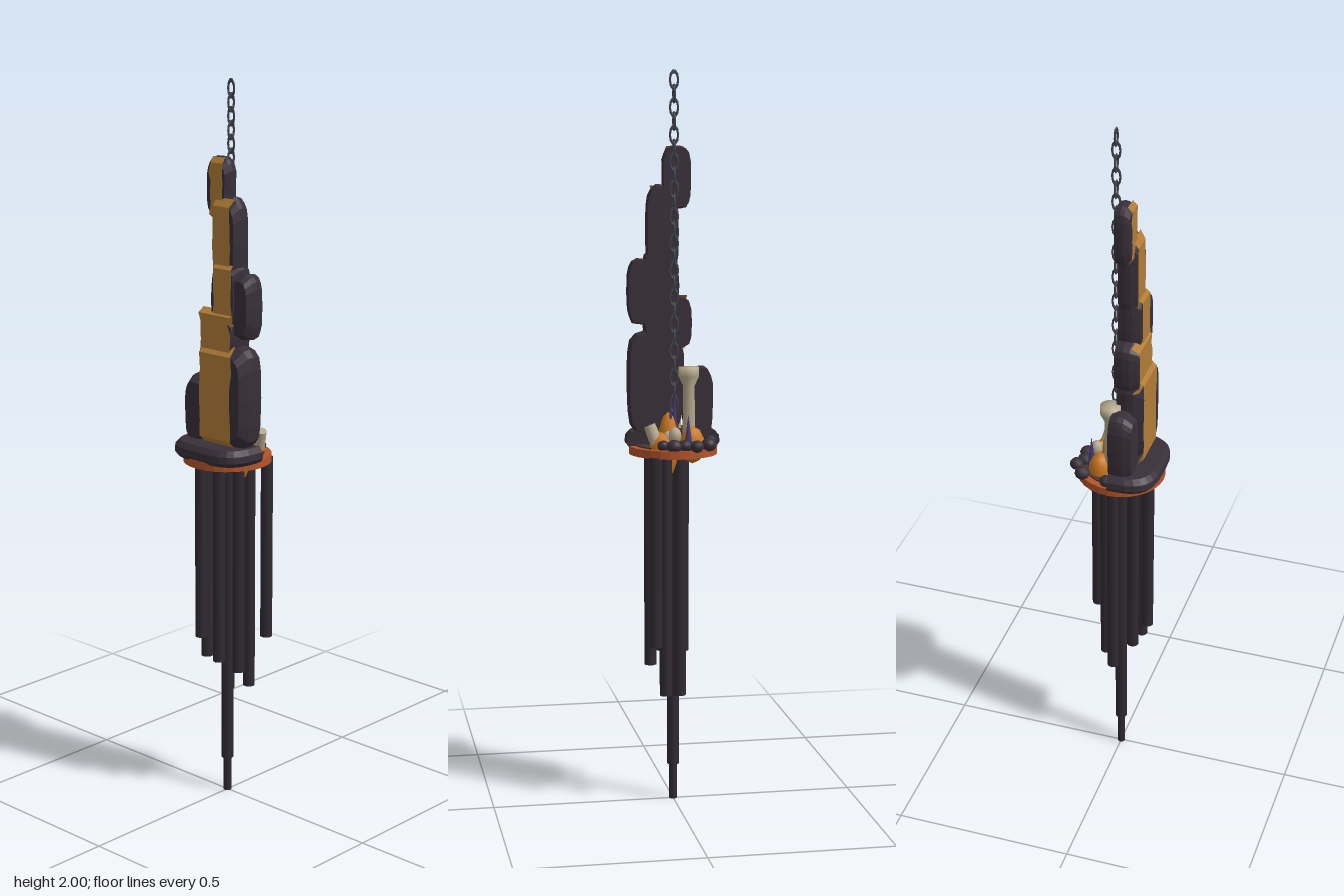
import * as THREE from 'three';

const mat = (name, color) => {
  const m = new THREE.MeshStandardMaterial({ color });
  m.name = name;
  return m;
};

export function createModel() {
  const rock = mat('dark rock', 0x382f38);
  const tubeMat = mat('dark metal tube', 0x302a31);
  const amber = mat('amber', 0xb07c38);
  amber.side = THREE.DoubleSide;
  const rust = mat('rust rim', 0xb4532a);
  const orange = mat('orange', 0xc9771f);
  const cream = mat('cream', 0xb5a88c);
  const purple = mat('purple', 0x463570);
  const steel = mat('chain steel', 0x42424e);
  const earth = mat('brown earth', 0x4c3632);

  const model = new THREE.Group();
  let seed = 7;
  const rnd = () => (seed = (seed * 16807) % 2147483647) / 2147483647;

  const add = (name, geo, material, x = 0, y = 0, z = 0) => {
    const m = new THREE.Mesh(geo, material);
    m.name = name;
    m.position.set(x, y, z);
    model.add(m);
    return m;
  };

  // Faceted solid from matching rings, capped at both ends
  const loft = (rings) => {
    const p = [];
    const tri = (...v) => v.forEach((q) => p.push(...q));
    const n = rings[0].length;
    const mid = (r) => [0, 1, 2].map((k) => r.reduce((s, q) => s + q[k], 0) / n);
    const first = rings[0], last = rings[rings.length - 1];
    for (let i = 0; i < n; i++) {
      const j = (i + 1) % n;
      for (let k = 0; k < rings.length - 1; k++) {
        const a = rings[k], b = rings[k + 1];
        tri(a[i], a[j], b[j]);
        tri(a[i], b[j], b[i]);
      }
      tri(mid(first), first[j], first[i]);
      tri(mid(last), last[i], last[j]);
    }
    const g = new THREE.BufferGeometry();
    g.setAttribute('position', new THREE.Float32BufferAttribute(p, 3));
    g.computeVertexNormals();
    return g;
  };

  // Squarish rounded outline point
  const superPoint = (a, w, h, e) => {
    const c = Math.cos(a), s = Math.sin(a);
    return [w * Math.sign(c) * Math.abs(c) ** e, h * Math.sign(s) * Math.abs(s) ** e];
  };

  // Flat-backed boulder: centre, half width, half height, depth
  const boulder = (name, cx, cy, w, h, d) => {
    const outline = Array.from({ length: 18 }, (_, i) => {
      const [x, y] = superPoint((i / 18) * Math.PI * 2, w, h, 0.55);
      const k = 0.96 + rnd() * 0.06;
      return [x * k, y * k];
    });
    const ring = (s, z) => outline.map(([x, y]) => [cx + x * s, cy + y * s, z]);
    add(name, loft([ring(0.95, -0.005), ring(1, d * 0.3), ring(0.98, d * 0.6), ring(0.8, d)]), rock);
  };

  // Amber sheet following the front of a boulder, with ragged sides
  const band = (cy, h, d, x0, x1) => {
    const prof = [[0.97, 0.65], [0.8, 1], [0.5, 1], [0.2, 1], [-0.15, 1], [-0.5, 1], [-0.8, 1], [-0.97, 0.65]];
    const pos = [], idx = [];
    prof.forEach(([v, s], i) => {
      const y = cy + v * h, z = d * s + 0.003;
      pos.push(x0 + (rnd() - 0.5) * 0.01, y, z, x1 + (rnd() - 0.5) * 0.01, y, z);
      if (i) idx.push(2 * i - 2, 2 * i, 2 * i + 1, 2 * i - 2, 2 * i + 1, 2 * i - 1);
    });
    const g = new THREE.BufferGeometry();
    g.setAttribute('position', new THREE.Float32BufferAttribute(pos, 3));
    g.setIndex(idx);
    const flat = g.toNonIndexed();
    flat.computeVertexNormals();
    add('amberBand', flat, amber);
  };

  // Spire of stacked boulders: centre, half size, depth, amber from x to x
  [
    [-0.01, 1.715, 0.04, 0.085, 0.034, -0.03, 0.015],
    [0.028, 1.575, 0.046, 0.122, 0.045, -0.008, 0.054],
    [0.08, 1.41, 0.044, 0.09, 0.05],
    [0.032, 1.43, 0.05, 0.1, 0.054, 0.0, 0.068],
    [0.012, 1.325, 0.068, 0.075, 0.06, -0.043, 0.065],
    [0.045, 1.165, 0.08, 0.145, 0.07, -0.035, 0.078],
    [-0.07, 1.11, 0.042, 0.098, 0.058],
  ].forEach(([cx, cy, w, h, d, x0, x1]) => {
    boulder('spireBoulder', cx, cy, w, h, d);
    if (x0 !== undefined) band(cy, h, d, x0, x1);
  });

  // Half-round stone ledge in front of the spire
  const ledgeRing = (s, y) => Array.from({ length: 15 }, (_, i) => {
    const [x, z] = superPoint(Math.PI + (i / 14) * Math.PI, 0.128 * s, 0.125 * s, 0.6);
    return [x, y, -z - 0.003];
  });
  add('ledge', loft([ledgeRing(0.93, 0.988), ledgeRing(1, 1.0), ledgeRing(0.99, 1.018), ledgeRing(0.9, 1.032)]), rock);

  // Round base plate with rust-coloured rim
  const rim = new THREE.Shape().absarc(0, 0, 0.12, 0, Math.PI * 2);
  rim.holes.push(new THREE.Path().absarc(0, 0, 0.1, 0, Math.PI * 2, true));
  const rimGeo = new THREE.ExtrudeGeometry(rim, { depth: 0.022, bevelEnabled: false, curveSegments: 14 });
  add('baseRim', rimGeo.rotateX(-Math.PI / 2), rust, 0, 0.972);
  add('basePlate', new THREE.CylinderGeometry(0.101, 0.101, 0.024, 28), earth, 0, 0.986);

  // Hanging tubes: x, z, lower end
  [
    [-0.02, 0.083, 0.48], [-0.035, 0.045, 0.41], [0.03, -0.055, 0.31], [0.063, -0.09, 0.455],
    [0.06, 0.02, 0.38], [-0.015, -0.02, 0.3], [0.02, 0.055, 0.41], [0, 0, 0.1],
  ].forEach(([x, z, y]) =>
    add('chimeTube', new THREE.CylinderGeometry(0.017, 0.017, 0.975 - y, 12), tubeMat, x, (0.975 + y) / 2, z));
  add('striker', new THREE.CylinderGeometry(0.011, 0.011, 0.12, 10), tubeMat, 0, 0.06, 0);

  // Chain of alternating oval links behind the spire
  const link = new THREE.TorusGeometry(0.011, 0.003, 5, 10).scale(1, 2, 1);
  for (let i = 0; i < 27; i++) {
    add('chainLink', link, steel, 0, 1.972 - i * 0.036, -0.014).rotation.y = (i % 2) * Math.PI / 2;
  }

  // Small garden on the back half of the plate
  const lump = (name, material, x, y, z, r, sy = 1) => {
    const m = add(name, new THREE.IcosahedronGeometry(r, 1), material, x, y, z);
    m.scale.y = sy;
    m.rotation.y = rnd() * 6;
  };
  [[-0.082, -0.085, 0.021], [-0.045, -0.113, 0.019], [-0.018, -0.098, 0.02], [0.015, -0.102, 0.021],
    [0.042, -0.085, 0.017], [-0.1, -0.012, 0.018], [0.045, -0.02, 0.026]]
    .forEach(([x, z, r]) => lump('gardenStone', rock, x, 1.005, z, r, 0.9));
  lump('orangeMound', orange, -0.045, 1.0, -0.045, 0.034, 1.5);
  lump('orangeMound', orange, 0.045, 1.0, -0.06, 0.03, 1.3);
  lump('orangeMound', orange, 0.02, 1.0, -0.035, 0.028, 3.2);
  lump('paleShell', cream, 0.008, 1.03, -0.073, 0.018, 1.3);
  lump('paleShell', cream, 0.024, 1.025, -0.062, 0.014, 1.2);

  // Pale column with a flared capital, and a leaning stump
  const column = [[0.024, 0], [0.017, 0.02], [0.016, 0.16], [0.028, 0.185], [0.028, 0.21], [0, 0.21]]
    .map(([x, y]) => new THREE.Vector2(x, y));
  add('paleColumn', new THREE.LatheGeometry(column, 16).toNonIndexed(), cream, -0.04, 0.998, -0.018);
  const stump = add('paleStump', new THREE.CylinderGeometry(0.016, 0.019, 0.07, 10), cream, 0.062, 1.025, -0.06);
  stump.rotation.set(0.2, 0, -0.35);

  // Purple crystals
  [[-0.028, -0.076, 0.09], [0.0, -0.022, 0.15], [0.015, -0.045, 0.12]].forEach(([x, z, h]) =>
    add('crystal', new THREE.ConeGeometry(0.012, h, 6).toNonIndexed(), purple, x, 0.998 + h / 2, z));

  return model;
}
